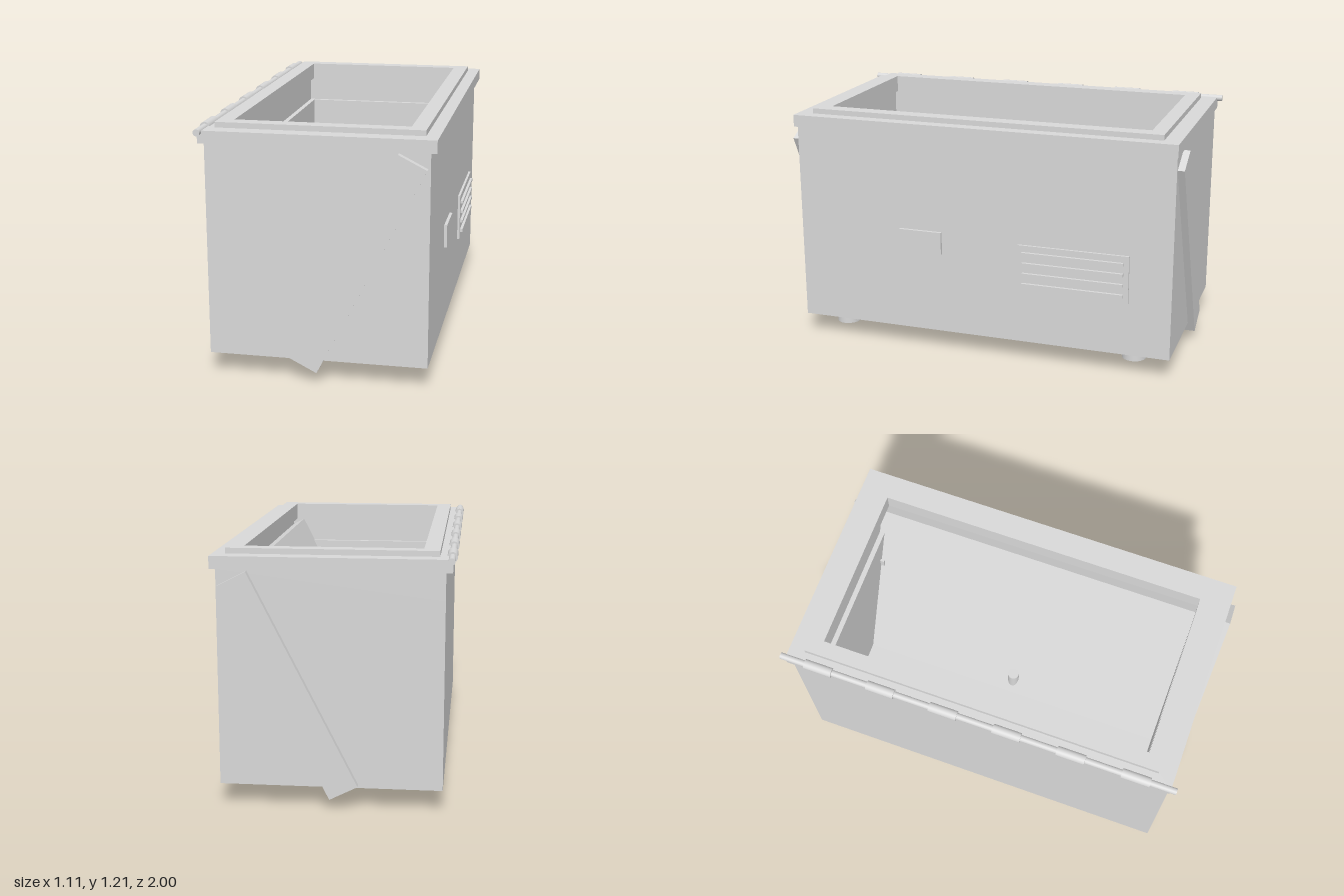
import * as THREE from 'three';

const grey = new THREE.MeshStandardMaterial({ color: 0xd8d8d8 });
grey.name = 'plain grey';

export function createModel() {
  const model = new THREE.Group();
  model.name = 'chestFreezer';

  const add = (name, geometry) => {
    const mesh = new THREE.Mesh(geometry, grey);
    mesh.name = name;
    model.add(mesh);
    return mesh;
  };

  // Box given by its limits on each axis
  const box = (name, x0, x1, y0, y1, z0, z1) => {
    const mesh = add(name, new THREE.BoxGeometry(x1 - x0, y1 - y0, z1 - z0));
    mesh.position.set((x0 + x1) / 2, (y0 + y1) / 2, (z0 + z1) / 2);
    return mesh;
  };

  // Upright cylinder; axis 'x' or 'z' lays it down
  const rod = (name, r, length, x, y, z, axis = 'y') => {
    const mesh = add(name, new THREE.CylinderGeometry(r, r, length, 32));
    if (axis === 'x') mesh.rotation.z = Math.PI / 2;
    if (axis === 'z') mesh.rotation.x = Math.PI / 2;
    mesh.position.set(x, y, z);
    return mesh;
  };

  // Rectangular ring: outer and inner are [x0, x1, z0, z1], traced counter-clockwise
  const trace = (path, [x0, x1, z0, z1]) =>
    path.moveTo(x0, -z1).lineTo(x1, -z1).lineTo(x1, -z0).lineTo(x0, -z0).closePath();
  const ring = (name, outer, inner, y0, y1) => {
    const shape = trace(new THREE.Shape(), outer);
    shape.holes.push(trace(new THREE.Path(), inner));
    const geometry = new THREE.ExtrudeGeometry(shape, { depth: y1 - y0, bevelEnabled: false });
    geometry.rotateX(-Math.PI / 2).translate(0, y0, 0);
    return add(name, geometry);
  };

  // Cabinet: base, thick insulated wall, and thinner wall above the inner ledge
  const outer = [-0.51, 0.528, -0.967, 0.966];
  const opening = [-0.405, 0.42, -0.823, 0.822];
  box('cabinetBase', -0.51, 0.528, 0.103, 0.27, -0.967, 0.966);
  ring('cabinetWall', outer, opening, 0.27, 0.99);
  ring('upperWall', outer, [-0.43, 0.445, -0.848, 0.847], 0.99, 1.119);

  // Top rim and raised collar
  ring('topRim', [-0.54, 0.556, -0.975, 0.972], opening, 1.119, 1.179);
  ring('collar', [-0.48, 0.495, -0.895, 0.893], opening, 1.179, 1.205);

  // Slanted panel through the cabinet
  const panel = add('slantedPanel', new THREE.BoxGeometry(0.147, 1.116, 2));
  panel.position.set(0.1985, 0.583, 0);
  panel.rotation.z = -Math.atan2(0.505, 0.995);

  // Feet
  for (const x of [-0.404, 0.424])
    for (const z of [-0.772, 0.775]) rod('foot', 0.06, 0.05, x, 0.078, z);

  // Hinge pin with its barrels and leaves
  rod('hingePin', 0.016, 2, -0.534, 1.174, 0, 'z');
  for (let i = 0; i < 6; i++) {
    const z = -0.803 + i * 0.321;
    rod('hingeBarrel', 0.024, 0.14, -0.534, 1.174, z, 'z');
    box('hingeLeaf', -0.52, -0.51, 1.105, 1.119, z - 0.07, z + 0.07);
  }

  // Control plate and ventilation grille on the left side
  box('controlPlate', 0.528, 0.543, 0.517, 0.632, 0.198, 0.42);
  box('grillePlate', 0.528, 0.54, 0.37, 0.612, -0.758, -0.2);
  for (let i = 0; i < 4; i++) {
    const y = 0.411 + i * 0.0535;
    box('grilleSlat', 0.54, 0.554, y - 0.008, y + 0.008, -0.732, -0.226);
  }

  // Drain pipe with elbow, valve wheel and tab
  rod('drainPipe', 0.03, 0.38, 0.008, 0.24, 0);
  add('drainElbow', new THREE.SphereGeometry(0.03, 24, 16)).position.set(0.008, 0.05, 0);
  rod('drainValve', 0.05, 0.037, 0.0295, 0.05, 0, 'x');
  box('valveTab', 0.048, 0.056, 0.055, 0.098, -0.005, 0.005);

  // Temperature probe on the inner back wall
  box('temperatureProbe', 0.223, 0.235, 0.8, 0.85, -0.823, -0.803);

  return model;
}
